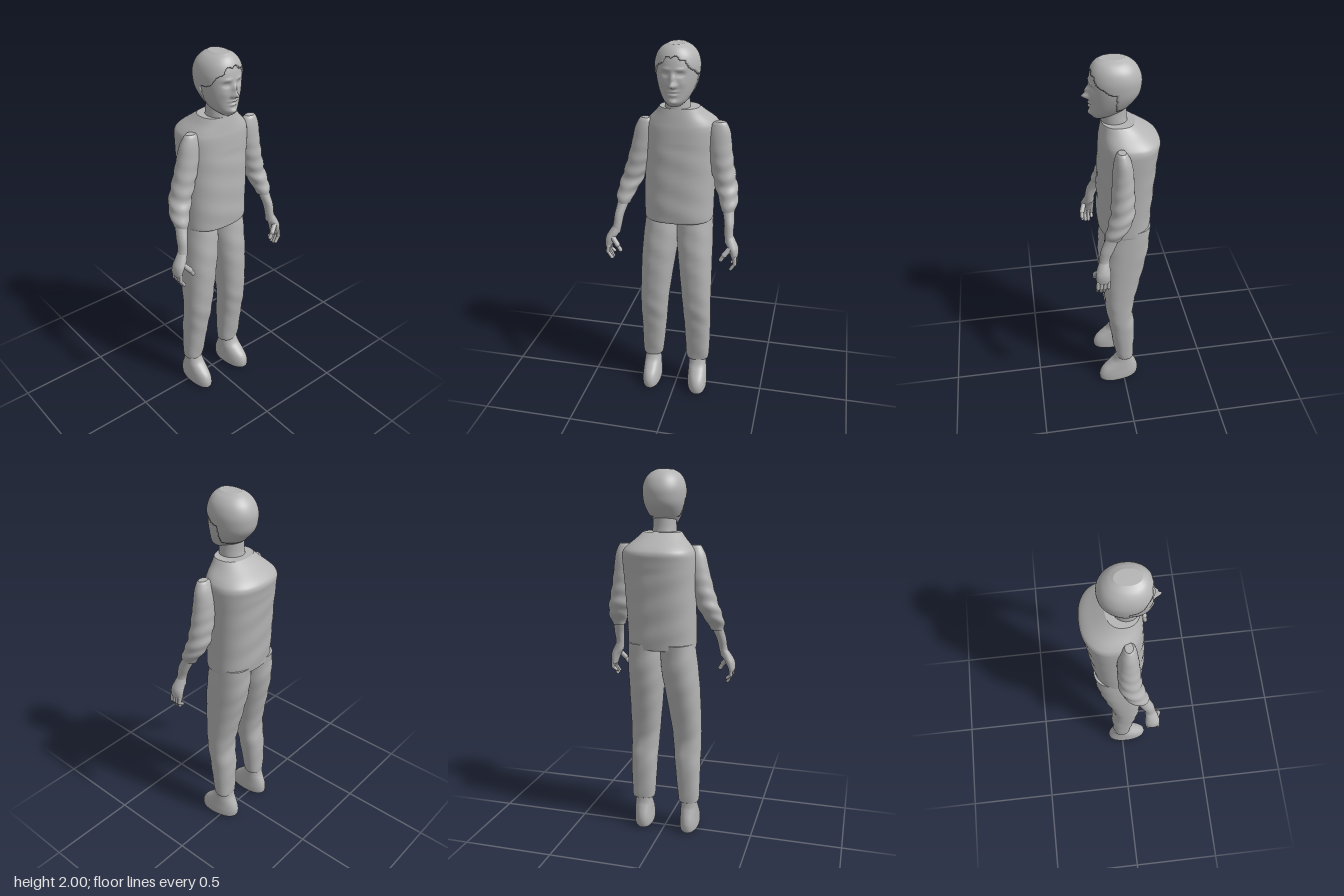
import * as THREE from 'three';

const grey = new THREE.MeshStandardMaterial({ color: 0xb4b4b4 });
grey.name = 'plain grey';

// Smooth closed body through horizontal sections [y, xMin, xMax, zBack, zFront], listed upwards.
function loft(name, sections, { seg = 40, steps = 5, power = 2, warp } = {}) {
  const mid = new THREE.CatmullRomCurve3(sections.map(([y, a, b, c, d]) =>
    new THREE.Vector3((a + b) / 2, y, (c + d) / 2)), false, 'catmullrom', 0.5);
  const size = new THREE.CatmullRomCurve3(sections.map(([, a, b, c, d]) =>
    new THREE.Vector3((b - a) / 2, 0, (d - c) / 2)), false, 'catmullrom', 0.5);
  const rows = (sections.length - 1) * steps;
  const pos = [], index = [];
  const bend = (v) => Math.sign(v) * Math.abs(v) ** (2 / power);
  for (let i = 0; i <= rows; i++) {
    const m = mid.getPoint(i / rows), r = size.getPoint(i / rows);
    for (let j = 0; j < seg; j++) {
      const a = (j / seg) * Math.PI * 2;
      const p = new THREE.Vector3(m.x + r.x * bend(Math.cos(a)), m.y, m.z + r.z * bend(Math.sin(a)));
      if (warp) warp(p, a, m);
      pos.push(p.x, p.y, p.z);
    }
  }
  for (let i = 0; i < rows; i++) {
    for (let j = 0; j < seg; j++) {
      const a = i * seg + j, c = i * seg + (j + 1) % seg;
      index.push(a, a + seg, c, a + seg, c + seg, c);
    }
  }
  // Flat end caps with their own rim, so the edge stays crisp
  for (const top of [false, true]) {
    const from = top ? rows * seg : 0, start = pos.length / 3;
    const m = mid.getPoint(top ? 1 : 0);
    for (let j = 0; j < seg; j++) pos.push(...pos.slice((from + j) * 3, (from + j) * 3 + 3));
    pos.push(m.x, pos[from * 3 + 1], m.z);
    for (let j = 0; j < seg; j++) {
      const a = start + j, b = start + (j + 1) % seg;
      index.push(start + seg, top ? b : a, top ? a : b);
    }
  }
  const geo = new THREE.BufferGeometry();
  geo.setAttribute('position', new THREE.Float32BufferAttribute(pos, 3));
  geo.setIndex(index);
  geo.computeVertexNormals();
  const mesh = new THREE.Mesh(geo, grey);
  mesh.name = name;
  return mesh;
}

// Rounded rod between two points, used for fingers
function rod(name, a, b, radius) {
  const from = new THREE.Vector3(...a), to = new THREE.Vector3(...b);
  const dir = to.clone().sub(from);
  const mesh = new THREE.Mesh(new THREE.CapsuleGeometry(radius, dir.length(), 5, 12), grey);
  mesh.position.copy(from).add(to).multiplyScalar(0.5);
  mesh.quaternion.setFromUnitVectors(new THREE.Vector3(0, 1, 0), dir.normalize());
  mesh.name = name;
  return mesh;
}

const HEAD = [
  [1.705, -0.02, 0.04, 0.07, 0.135], [1.73, -0.05, 0.07, 0.0, 0.148],
  [1.77, -0.073, 0.093, -0.045, 0.15], [1.82, -0.09, 0.11, -0.085, 0.152],
  [1.87, -0.097, 0.117, -0.097, 0.153], [1.91, -0.096, 0.116, -0.095, 0.15],
  [1.95, -0.083, 0.103, -0.078, 0.138], [1.98, -0.058, 0.078, -0.05, 0.118],
  [1.998, -0.025, 0.045, -0.02, 0.093],
];

// Face relief: [distance from centre line, y, width, height, depth]
const FACE = [
  [0, 1.815, 0.013, 0.014, 0.036], [0, 1.845, 0.011, 0.022, 0.02],
  [0.014, 1.81, 0.008, 0.008, 0.01], [0.038, 1.866, 0.018, 0.011, -0.013],
  [0.038, 1.866, 0.009, 0.006, 0.006], [0.035, 1.89, 0.025, 0.008, 0.005],
  [0, 1.782, 0.024, 0.006, 0.01], [0, 1.765, 0.02, 0.006, 0.01],
  [0, 1.774, 0.027, 0.003, -0.007], [0, 1.73, 0.024, 0.013, 0.012],
  [0.05, 1.82, 0.018, 0.02, 0.004],
];

function faceWarp(p, a) {
  const front = Math.max(0, Math.sin(a)), u = Math.abs(p.x - 0.01), y = p.y;
  for (const [c, h, w, t, d] of FACE) {
    p.z += front * d * Math.exp(-(((u - c) / w) ** 2) - ((y - h) / t) ** 2);
  }
}

// Hair stands proud of the scalp above a jagged hairline and sinks into it below
function hairWarp(p, a, m) {
  const u = p.x - 0.01;
  const line = p.z < 0.035 ? 1.755 : 1.945 - 9 * u * u + 0.006 * Math.sin(u * 150);
  const k = p.y > line ? 0.006 : -0.02;
  p.x += Math.cos(a) * k;
  p.z += Math.sin(a) * k;
  p.y += 0.002;
}

function makeHead() {
  const g = new THREE.Group();
  g.name = 'head';
  g.add(loft('face', HEAD, { seg: 96, steps: 8, power: 2.1, warp: faceWarp }));
  g.add(loft('hair', HEAD, { seg: 96, steps: 8, power: 2.1, warp: hairWarp }));
  g.add(loft('neck', [[1.63, -0.056, 0.078, -0.045, 0.098], [1.69, -0.054, 0.075, -0.033, 0.096],
    [1.73, -0.052, 0.072, -0.03, 0.095], [1.8, -0.05, 0.07, -0.03, 0.09]]));
  return g;
}

// Arm: side is +1 for the left; the shoulders sit slightly towards +x
function makeArm(side) {
  const g = new THREE.Group();
  const label = side > 0 ? 'left' : 'right';
  g.name = label + 'Arm';
  const shift = (y) => 0.035 * (y - 1) / 0.6;
  const place = (rows) => rows.map(([y, c, r, zb, zf]) =>
    [y, side * c + shift(y) - r, side * c + shift(y) + r, zb, zf]);
  const folds = (p, a, m) => {
    const k = 1 + 0.05 * Math.sin(p.y * 85 + 2 * Math.sin(a)) * Math.min(1, Math.max(0, (1.52 - p.y) * 5));
    p.x = m.x + (p.x - m.x) * k;
    p.z = m.z + (p.z - m.z) * k;
  };
  g.add(loft(label + 'Sleeve', place([
    [1.16, 0.28, 0.036, 0.042, 0.122], [1.2, 0.277, 0.047, 0.015, 0.117],
    [1.25, 0.262, 0.057, -0.018, 0.1], [1.3, 0.246, 0.06, -0.031, 0.088],
    [1.4, 0.219, 0.062, -0.034, 0.081], [1.5, 0.199, 0.062, -0.03, 0.073],
    [1.56, 0.193, 0.057, -0.02, 0.066], [1.6, 0.192, 0.041, -0.004, 0.056],
    [1.616, 0.193, 0.027, 0.006, 0.046]]), { steps: 8, warp: folds }));
  g.add(loft(label + 'Forearm', place([
    [1.0, 0.31, 0.026, 0.103, 0.162], [1.05, 0.3, 0.024, 0.1, 0.155], [1.1, 0.296, 0.026, 0.08, 0.147],
    [1.15, 0.286, 0.03, 0.058, 0.126], [1.2, 0.278, 0.034, 0.04, 0.105]])));
  g.add(loft(label + 'Palm', place([
    [0.915, 0.341, 0.012, 0.105, 0.172], [0.935, 0.341, 0.02, 0.101, 0.177],
    [0.97, 0.333, 0.027, 0.1, 0.178], [1.0, 0.318, 0.03, 0.102, 0.17], [1.04, 0.302, 0.022, 0.102, 0.155]])));
  // Four curled fingers and a thumb
  for (let i = 0; i < 4; i++) {
    const z = 0.114 + i * 0.018, tip = 0.865 - [0, 0.008, 0.008, 0][i] + (i === 0 ? 0.015 : 0);
    g.add(rod(label + 'Finger', [side * 0.343, 0.93, z], [side * 0.345, 0.896, z + 0.002], 0.0105));
    g.add(rod(label + 'Fingertip', [side * 0.345, 0.896, z + 0.002], [side * 0.324, tip, z + 0.003], 0.009));
  }
  g.add(rod(label + 'Thumb', [side * 0.318, 0.98, 0.16], [side * 0.288, 0.945, 0.176], 0.0145));
  g.add(rod(label + 'ThumbTip', [side * 0.288, 0.945, 0.176], [side * 0.272, 0.918, 0.178], 0.0115));
  return g;
}

// Trouser leg and shoe from inner and outer edges
function makeLeg(label, edges, shoe) {
  const g = new THREE.Group();
  g.name = label + 'Leg';
  const depth = [[0.175, -0.053, 0.04], [0.2, -0.056, 0.05], [0.4, -0.063, 0.078], [0.5, -0.052, 0.094],
    [0.6, -0.06, 0.104], [0.8, -0.105, 0.112], [0.95, -0.135, 0.106], [1.1, -0.145, 0.085]];
  g.add(loft(label + 'TrouserLeg', depth.map(([y, b, f], i) => [y, ...edges[i], b, f]),
    { power: 2.3, warp: (p, a) => { p.z += 0.002 * Math.sin(p.y * 50 + 3 * Math.cos(a)); } }));
  const [x0, x1, turn] = shoe;
  const at = (y, inset, b, f) => [y, x0 + inset, x1 - inset, b, f];
  g.add(loft(label + 'Shoe', [at(0, 0.01, -0.07, 0.135), at(0.015, 0.001, -0.083, 0.146),
    at(0.05, 0, -0.087, 0.146), at(0.085, 0.002, -0.08, 0.128), at(0.12, 0.004, -0.066, 0.09),
    at(0.15, 0.006, -0.055, 0.06), at(0.2, 0.008, -0.05, 0.038)], {
    power: 2.2,
    warp: (p) => { p.x += turn * p.z; p.y = Math.max(0, p.y); },
  }));
  return g;
}

export function createModel() {
  const model = new THREE.Group();
  model.name = 'standingFigure';
  model.add(makeHead());

  // Tunic with a wide, sloping shoulder line and faint wrinkles
  model.add(loft('tunic', [
    [1.07, -0.172, 0.192, -0.148, 0.122], [1.09, -0.175, 0.195, -0.152, 0.127],
    [1.2, -0.175, 0.197, -0.16, 0.127], [1.4, -0.172, 0.206, -0.175, 0.121],
    [1.53, -0.172, 0.214, -0.188, 0.115], [1.58, -0.168, 0.212, -0.193, 0.112],
    [1.61, -0.15, 0.194, -0.172, 0.108], [1.65, -0.112, 0.15, -0.118, 0.102],
    [1.683, -0.085, 0.12, -0.07, 0.096]], {
    seg: 64, steps: 7, power: 2.35,
    warp: (p, a) => { if (p.y < 1.5) p.z += 0.002 * Math.sin(p.y * 45 + p.x * 14) * Math.sin(a); },
  }));

  for (const side of [1, -1]) model.add(makeArm(side));
  model.add(makeLeg('right', [[-0.188, -0.092], [-0.2, -0.082], [-0.202, -0.06], [-0.203, -0.05],
    [-0.202, -0.04], [-0.196, -0.013], [-0.186, 0.008], [-0.17, 0.012]], [-0.196, -0.09, 0.03]));
  model.add(makeLeg('left', [[0.068, 0.178], [0.058, 0.19], [0.048, 0.196], [0.042, 0.197],
    [0.034, 0.197], [0.014, 0.196], [0.002, 0.195], [0, 0.19]], [0.068, 0.182, 0.12]));
  return model;
}
